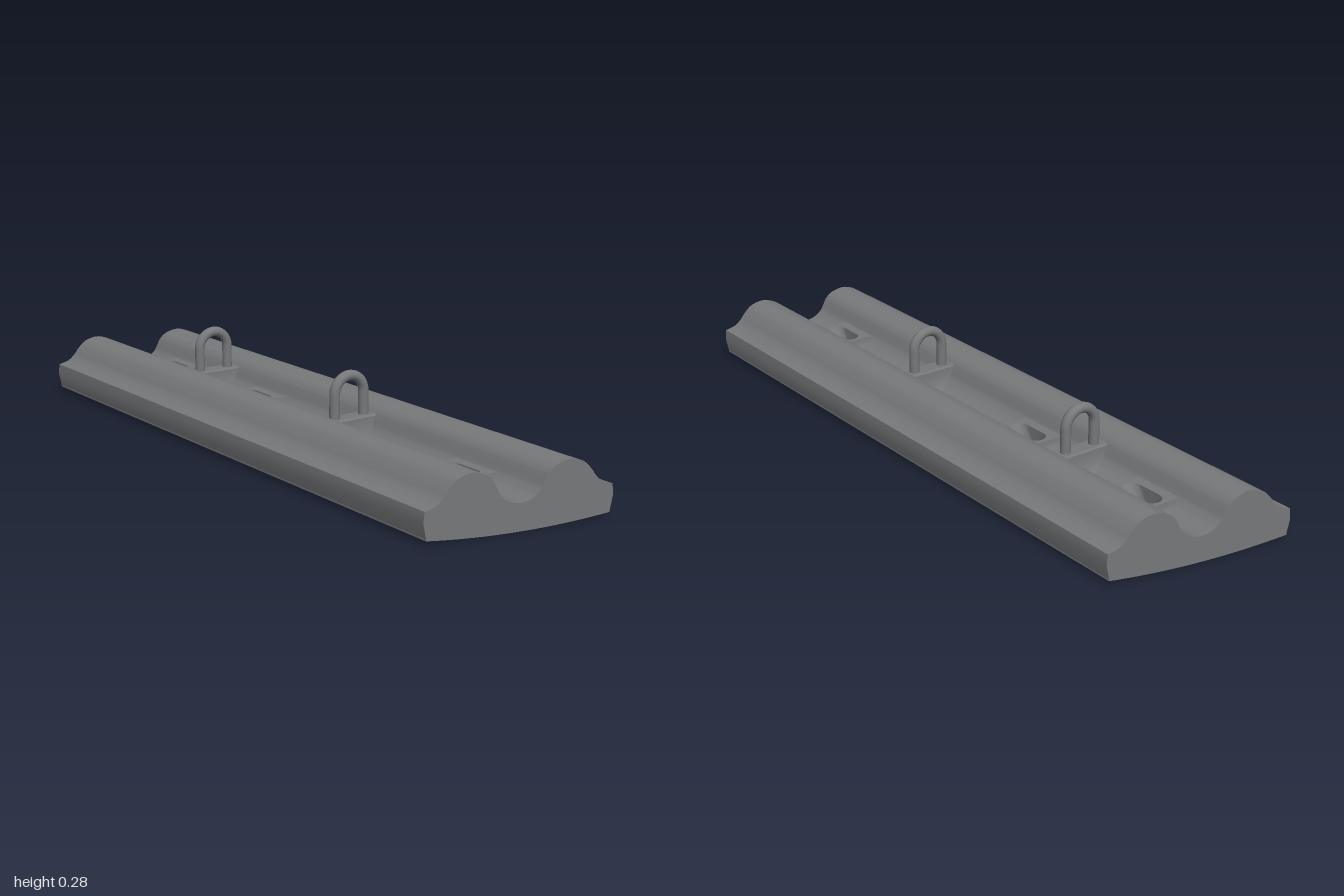
import * as THREE from 'three';
import { toCreasedNormals } from 'three/addons/utils/BufferGeometryUtils.js';

const SHEAR = 0.175, HALF = 0.952;      // slanted ends
const SPLIT = 0.045;                    // half width of the central strip
const LIFT = 0.005;                     // depth of the recesses underneath
const HOLES = [-0.725, -0.245, 0.715], PAD = 0.08;
const EYES = [-0.473, 0.236];
const PANELS = [[-0.61, -0.35], [-0.13, 0.62]], PANEL_W = 0.18, PANEL_R = 0.05;

const underside = x => 0.2 * x * x;
const channel = x => 0.15 - Math.sqrt(0.075 ** 2 - x * x);
const back = x => -HALF + SHEAR * x;
const front = x => HALF + SHEAR * x;
const V = (x, y) => new THREE.Vector2(x, y);

function remap(geo, fn) {
  const p = geo.attributes.position, v = new THREE.Vector3();
  for (let i = 0; i < p.count; i++) {
    fn(v.fromBufferAttribute(p, i));
    p.setXYZ(i, v.x, v.y, v.z);
  }
  return toCreasedNormals(geo, 0.5);
}

// Cross-section in x and y, run between two end functions z(x)
function prism(points, z0, z1) {
  const geo = new THREE.ExtrudeGeometry(new THREE.Shape(points), { depth: 1, bevelEnabled: false });
  return remap(geo, v => { v.z = v.z < 0.5 ? z0(v.x) : z1(v.x); });
}

// Cross-section in z and y, run across the width
function crossBar(points, halfWidth) {
  const geo = new THREE.ExtrudeGeometry(new THREE.Shape(points), { depth: 2 * halfWidth, bevelEnabled: false });
  geo.translate(0, 0, -halfWidth).rotateY(-Math.PI / 2);
  return toCreasedNormals(geo, 0.6);
}

// Solid stretches left between sorted cuts, as pairs of functions z(x)
function stretches(cuts) {
  const out = [];
  let start = back;
  for (const [a, b] of cuts) { out.push([start, a]); start = b; }
  out.push([start, front]);
  return out;
}

// Concave flank from a raised top down to the channel floor
function flank(z0, y0, z1, y1) {
  const pts = [];
  for (let i = 0; i <= 8; i++) {
    const a = (i / 8) * Math.PI / 2;
    pts.push(V(z1 - (z1 - z0) * Math.cos(a), y0 - (y0 - y1) * Math.sin(a)));
  }
  return pts;
}

export function createModel() {
  const model = new THREE.Group();
  const steel = new THREE.MeshStandardMaterial({ color: 0x77787a });
  steel.name = 'grey steel';
  const add = (name, geo, parent = model) => {
    const mesh = new THREE.Mesh(geo, steel);
    mesh.name = name;
    parent.add(mesh);
    return mesh;
  };

  // Two rounded side rails
  const crest = new THREE.SplineCurve([
    V(SPLIT, 0.09), V(0.06, 0.105), V(0.07, 0.124), V(0.08, 0.143), V(0.1, 0.161), V(0.14, 0.172),
    V(0.18, 0.161), V(0.205, 0.137), V(0.22, 0.117), V(0.24, 0.1), V(0.27, 0.09)]).getPoints(50);
  const base = [];
  for (let i = 0; i <= 12; i++) {
    const x = 0.265 + (SPLIT - 0.265) * i / 12;
    base.push(V(x, underside(x) + LIFT));
  }
  for (const s of [1, -1]) {
    const outline = [...crest, V(0.273, 0.06), ...base].map(p => V(p.x * s, p.y));
    add(s > 0 ? 'leftRail' : 'rightRail', prism(outline, back, front));
  }

  // Channel floor between the screw pads
  const padCuts = HOLES.map(z => [() => z - PAD, () => z + PAD]);
  const floor = [];
  for (let i = 0; i <= 16; i++) {
    const x = SPLIT * (i / 8 - 1);
    floor.push(V(x, channel(x)));
  }
  floor.push(V(SPLIT, LIFT), V(-SPLIT, LIFT));
  for (const [a, b] of stretches(padCuts)) add('channelFloor', prism(floor, a, b));

  // Underside skin in lengthwise strips, leaving two shallow rounded recesses
  const inset = x => {
    const d = Math.min(PANEL_R, Math.abs(x) - (PANEL_W - PANEL_R));
    return d <= 0 ? 0 : PANEL_R - Math.sqrt(PANEL_R ** 2 - d * d);
  };
  const panelCuts = PANELS.map(([a, b]) => [x => a + inset(x), x => b - inset(x)]);
  const allCuts = [...panelCuts, ...padCuts].sort((p, q) => p[0](0) - q[0](0));
  const edges = [SPLIT, 0.09, 0.13, 0.145, 0.16, 0.172, 0.177, PANEL_W, 0.205, 0.235, 0.265];
  const strip = (x0, x1, cuts) => {
    const section = [];
    for (let i = 0; i <= 4; i++) section.push(x0 + (x1 - x0) * i / 4);
    const outline = [
      ...section.map(x => V(x, underside(x))),
      ...section.map(x => V(x, underside(x) + LIFT)).reverse()];
    for (const [a, b] of stretches(cuts)) add('undersideSkin', prism(outline, a, b));
  };
  strip(-SPLIT, SPLIT, allCuts);
  for (let i = 0; i < edges.length - 1; i++) {
    const cuts = edges[i + 1] <= PANEL_W ? panelCuts : [];
    strip(edges[i], edges[i + 1], cuts);
    strip(-edges[i + 1], -edges[i], cuts);
  }

  // Screw pads: slot on top narrowing to a round hole below
  const padTop = 0.105, slot = 0.035, r = 0.031, w = 0.06;
  for (const z of HOLES) {
    const pad = new THREE.Group();
    pad.name = 'screwPad';
    pad.position.z = z;
    model.add(pad);
    const shape = new THREE.Shape([V(-w, -PAD), V(w, -PAD), V(w, PAD), V(-w, PAD)]);
    const hole = new THREE.Path();
    hole.absarc(0, slot, r, 0, Math.PI, false);
    hole.absarc(0, -slot, r, Math.PI, 2 * Math.PI, false);
    shape.holes.push(hole);
    const geo = new THREE.ExtrudeGeometry(shape, { depth: padTop, steps: 2, bevelEnabled: false, curveSegments: 16 });
    geo.rotateX(Math.PI / 2).translate(0, padTop, 0);
    add('slottedBlock', remap(geo, v => {
      if (Math.abs(v.x) < 0.04 && v.y < 0.06) v.z -= Math.sign(v.z) * slot;
      if (v.y < 0.01) v.y = underside(v.x);
    }), pad);
    const ramp = flank(PAD, padTop, PAD + 0.018, 0.072);
    for (const s of [1, -1]) {
      const pts = [...ramp, V(PAD, 0.072)].map(p => V(p.x * s, p.y));
      add('padRamp', crossBar(pts, w), pad);
    }
  }

  // Upright eyelets on raised mounts
  for (const z of EYES) {
    const eye = new THREE.Group();
    eye.name = 'eyelet';
    eye.position.z = z;
    model.add(eye);
    const side = flank(0.026, 0.137, 0.054, 0.073);
    const outline = [V(0.022, 0.142), ...side];
    add('eyeletMount', crossBar([...outline, ...outline.map(p => V(-p.x, p.y)).reverse()], 0.085), eye);
    add('eyeletArch', new THREE.TorusGeometry(0.05, 0.015, 16, 32, Math.PI), eye).position.y = 0.21;
    for (const s of [1, -1]) {
      add('eyeletLeg', new THREE.CylinderGeometry(0.015, 0.015, 0.09, 16, 1, true), eye).position.set(s * 0.05, 0.165, 0);
    }
  }
  return model;
}
